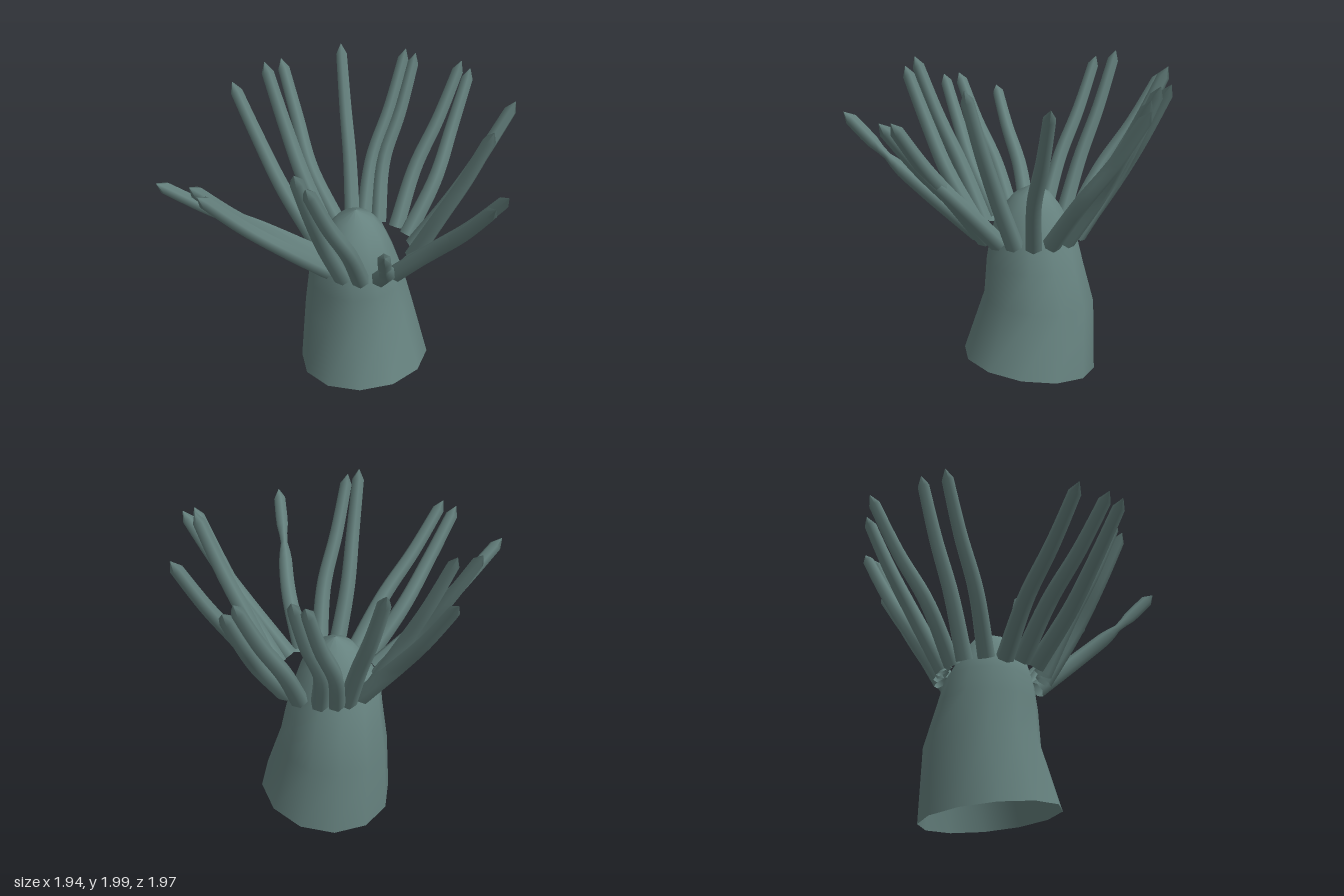
import * as THREE from 'three';

const skin = new THREE.MeshStandardMaterial({ color: 0x66827f, side: THREE.DoubleSide });
skin.name = 'grey teal skin';

// Leaning hollow column that closes into a dome; open and tilted at the foot
function makeColumn() {
  // y, centre x, centre z, radius
  const rings = [
    [0.075, -0.07, -0.035, 0.428],
    [0.5, -0.13, -0.065, 0.355],
    [0.75, -0.125, -0.035, 0.31],
    [0.9, -0.135, -0.02, 0.278],
    [1.0, -0.125, -0.01, 0.238],
    [1.1, -0.12, -0.015, 0.188],
    [1.19, -0.12, -0.02, 0.115],
    [1.25, -0.12, -0.02, 0.002],
  ];
  const sides = 12, positions = [], index = [];
  rings.forEach(([y, cx, cz, radius], r) => {
    const tilt = Math.max(0, 1.1 - 1.4 * y);
    for (let s = 0; s < sides; s++) {
      const a = (s / sides) * Math.PI * 2;
      const dx = Math.cos(a) * radius, dz = Math.sin(a) * radius;
      positions.push(cx + dx, y + tilt * (0.14 * dx + 0.06 * dz), cz + dz);
      if (r === 0) continue;
      const n = (s + 1) % sides, lo = (r - 1) * sides, hi = r * sides;
      index.push(lo + s, hi + s, lo + n, lo + n, hi + s, hi + n);
    }
  });
  const geo = new THREE.BufferGeometry();
  geo.setAttribute('position', new THREE.Float32BufferAttribute(positions, 3));
  geo.setIndex(index);
  geo.computeVertexNormals();
  return geo;
}

// Tapered six-sided tube with a pointed end, rooted on a ring around the dome
function makeTentacle([degrees, tipX, tipY, tipZ, bow], pinch) {
  const a = THREE.MathUtils.degToRad(degrees);
  const base = new THREE.Vector3(-0.065 + 0.32 * Math.cos(a), 0.965, -0.03 + 0.32 * Math.sin(a));
  const tip = new THREE.Vector3(tipX, tipY, tipZ);
  const side = new THREE.Vector3(base.z - tip.z, 0, tip.x - base.x).normalize();
  const bend = (f, sway) => {
    const p = base.clone().lerp(tip, f).addScaledVector(side, sway);
    p.y -= 0.05 * f * (tip.y - base.y);
    return p;
  };
  const curve = new THREE.CatmullRomCurve3([base, bend(0.37, bow), bend(0.68, bow * 0.4), tip]);

  const steps = 18, sides = 6;
  const geo = new THREE.TubeGeometry(curve, steps, 1, sides, false);
  const pos = geo.attributes.position, v = new THREE.Vector3();
  for (let i = 0; i <= steps; i++) {
    const t = i / steps, centre = curve.getPointAt(t);
    const squeeze = 1 - pinch * Math.exp(-(((t - 0.68) / 0.07) ** 2));
    const radius = i === steps ? 0.002 : (0.057 - 0.019 * t) * squeeze;
    for (let s = 0; s <= sides; s++) {
      const k = i * (sides + 1) + s;
      v.fromBufferAttribute(pos, k).sub(centre).multiplyScalar(radius).add(centre);
      pos.setXYZ(k, v.x, v.y, v.z);
    }
  }
  return geo;
}

// root angle, tip x, y, z, sideways bow
const tentacles = [
  [-124, -0.295, 1.95, -0.87, -0.05],
  [-106, -0.21, 1.95, -0.85, -0.06],
  [-82, 0.07, 1.93, -0.95, -0.04],
  [-62, 0.12, 1.88, -0.98, 0.04],
  [-42, 0.6, 1.93, -0.66, 0.03],
  [-21, 0.71, 1.99, -0.17, 0.01],
  [19, 0.97, 1.82, 0.13, -0.01],
  [-2, 0.95, 1.8, 0.24, -0.02],
  [38, 0.64, 1.73, 0.84, -0.03],
  [60, 0.13, 1.94, 0.8, -0.04],
  [80, 0.05, 1.99, 0.79, 0.02],
  [102, -0.46, 1.78, 0.99, -0.03],
  [123, -0.56, 1.78, 0.94, 0.03],
  [142, -0.89, 1.65, 0.87, 0.03],
  [162, -0.96, 1.93, 0.07, -0.03],
  [187, -0.87, 2.0, -0.14, -0.02],
  [205, -0.97, 1.88, -0.43, -0.05],
  [223, -0.65, 1.98, -0.65, 0.01],
];
const pinchedTentacle = 8;

export function createModel() {
  const model = new THREE.Group();
  model.name = 'seaAnemone';
  const column = new THREE.Mesh(makeColumn(), skin);
  column.name = 'column';
  model.add(column);

  const crown = new THREE.Group();
  crown.name = 'tentacleCrown';
  tentacles.forEach((row, i) => {
    const mesh = new THREE.Mesh(makeTentacle(row, i === pinchedTentacle ? 0.5 : 0), skin);
    mesh.name = `tentacle${i + 1}`;
    crown.add(mesh);
  });
  model.add(crown);
  return model;
}
